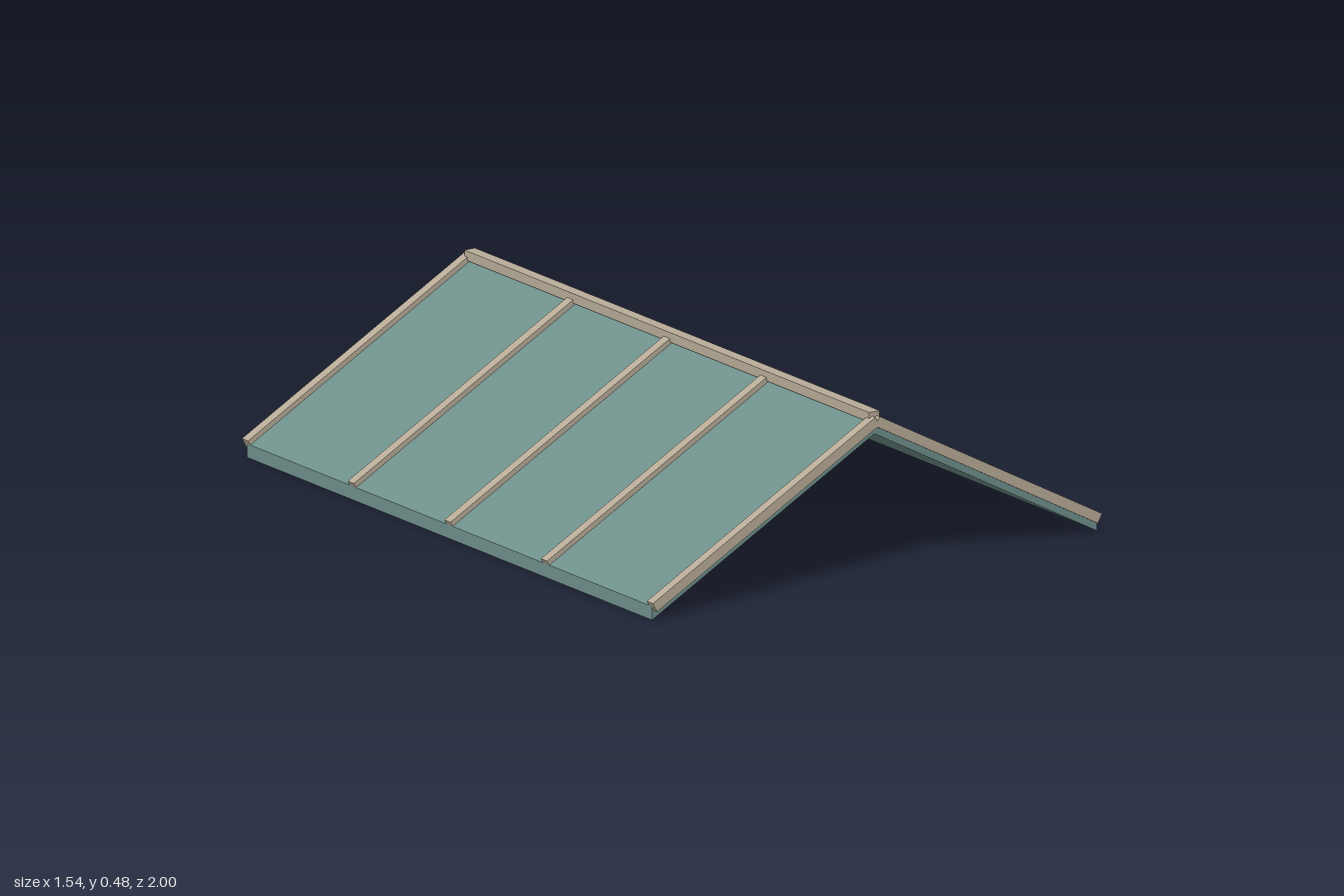
import * as THREE from 'three';

export function createModel() {
  const model = new THREE.Group();
  model.name = 'gableRoof';
  const roofMat = new THREE.MeshStandardMaterial({ name: 'roof teal', color: 0x6f908c });
  const trimMat = new THREE.MeshStandardMaterial({ name: 'trim beige', color: 0xb8ac98 });

  const halfWidth = 0.765, eave = 0.04, apex = 0.455, halfDepth = 0.985;
  const rise = apex - eave;
  const slope = Math.atan2(rise, halfWidth);

  for (const side of [1, -1]) {
    const sideName = side > 0 ? 'left' : 'right';

    // Sloping panel with plumb-cut eave and ridge
    const points = [[0, rise], [halfWidth, 0], [halfWidth, eave], [0, apex]]
      .map(([x, y]) => new THREE.Vector2(side * x, y));
    const panel = new THREE.Mesh(
      new THREE.ExtrudeGeometry(new THREE.Shape(points), { depth: 2 * halfDepth, bevelEnabled: false }),
      roofMat
    );
    panel.position.z = -halfDepth;
    panel.name = sideName + 'RoofPanel';
    model.add(panel);

    // Battens centred on the panel's top surface; the outer two cap the gable edges
    for (const z of [-halfDepth, -0.47, 0, 0.47, halfDepth]) {
      const batten = new THREE.Mesh(
        new THREE.BoxGeometry(Math.hypot(halfWidth, rise), 0.03, 0.03), trimMat);
      batten.position.set(side * halfWidth / 2, (eave + apex) / 2, z);
      batten.rotation.z = -side * slope;
      batten.name = sideName + (Math.abs(z) === halfDepth ? 'GableTrim' : 'Batten');
      model.add(batten);
    }
  }

  // Ridge beam
  const ridge = new THREE.Mesh(new THREE.BoxGeometry(0.036, 0.028, 2 * halfDepth), trimMat);
  ridge.position.y = 0.466;
  ridge.name = 'ridgeBeam';
  model.add(ridge);

  return model;
}
